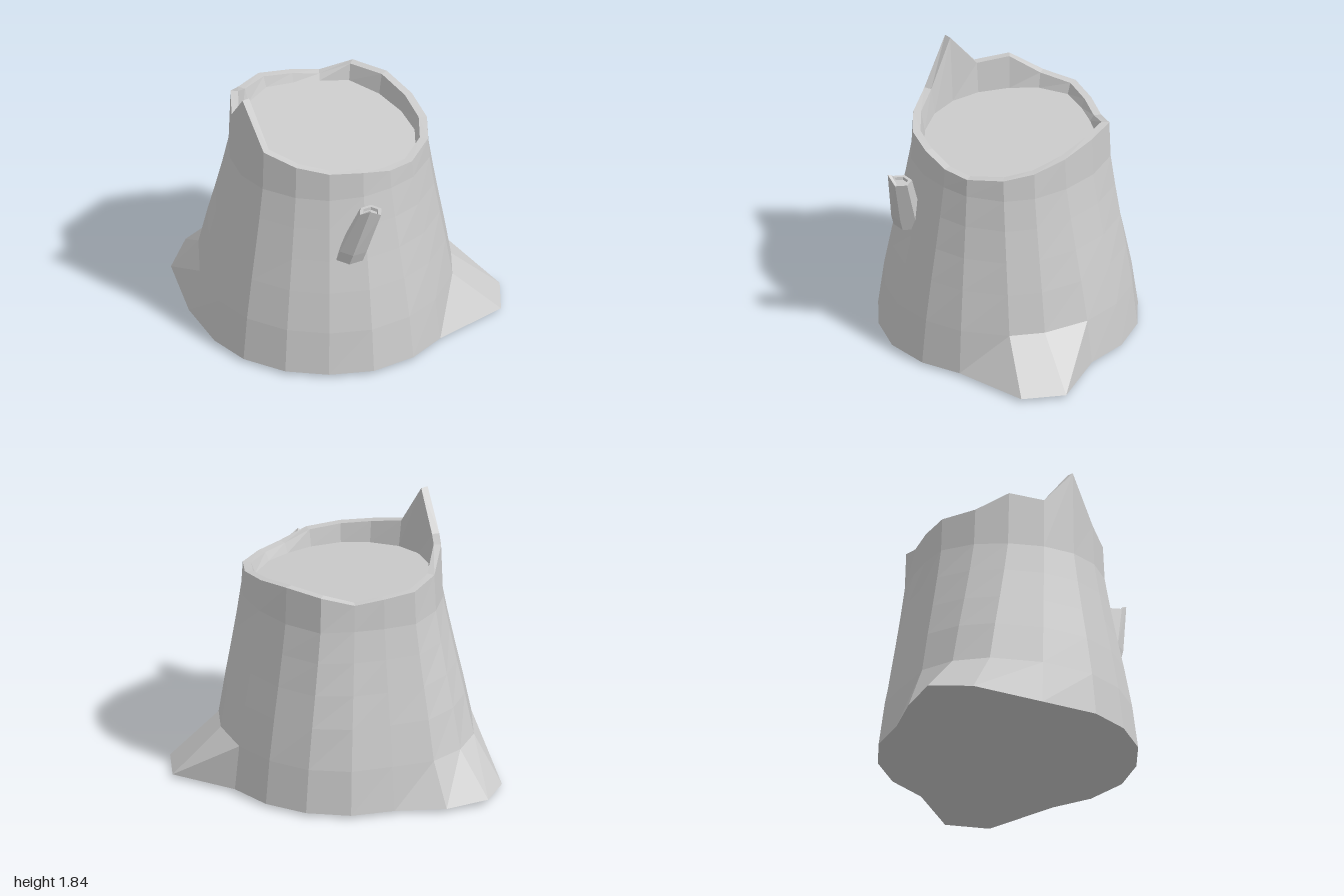
import * as THREE from 'three';

const mat = new THREE.MeshStandardMaterial({ color: 0xcccccc, flatShading: true });

// Skin a list of rings (each a loop of Vector3), skipping collapsed triangles.
function loft(rings, name) {
  const pos = [];
  const tri = (a, b, c) => {
    if (a.distanceTo(b) < 1e-5 || b.distanceTo(c) < 1e-5 || c.distanceTo(a) < 1e-5) return;
    for (const p of [a, b, c]) pos.push(p.x, p.y, p.z);
  };
  for (let i = 0; i < rings.length - 1; i++) {
    const n = rings[i].length;
    for (let j = 0; j < n; j++) {
      const k = (j + 1) % n;
      tri(rings[i][j], rings[i][k], rings[i + 1][k]);
      tri(rings[i][j], rings[i + 1][k], rings[i + 1][j]);
    }
  }
  const geo = new THREE.BufferGeometry();
  geo.setAttribute('position', new THREE.Float32BufferAttribute(pos, 3));
  geo.computeVertexNormals();
  const mesh = new THREE.Mesh(geo, mat);
  mesh.name = name;
  return mesh;
}

// Columns of the trunk, running from the front towards +x:
// [base x, base z, rim x, rim z, rim height, root flare]
const columns = [
  [-0.08, 1.00, -0.08, 0.77, 1.38, 0],
  [0.20, 0.95, 0.11, 0.77, 1.37, 0],
  [0.73, 0.95, 0.34, 0.67, 1.40, 0.6],
  [0.92, 0.72, 0.47, 0.51, 1.43, 0.6],
  [0.77, 0.28, 0.54, 0.28, 1.47, 0],
  [0.77, -0.02, 0.55, 0.02, 1.51, 0],
  [0.67, -0.30, 0.48, -0.24, 1.50, 0],
  [0.48, -0.53, 0.30, -0.37, 1.435, 0],
  [0.22, -0.67, 0.13, -0.47, 1.46, 0.05],
  [-0.05, -0.88, -0.07, -0.55, 1.48, 0.28],
  [-0.31, -1.00, -0.30, -0.49, 1.505, 0.42],
  [-0.57, -0.85, -0.48, -0.36, 1.62, 0.35],
  [-0.80, -0.41, -0.63, -0.18, 1.59, 0.1],
  [-0.93, -0.01, -0.71, 0.02, 1.835, 0],
  [-0.93, 0.28, -0.71, 0.23, 1.53, 0],
  [-0.82, 0.57, -0.62, 0.45, 1.48, 0],
  [-0.63, 0.79, -0.48, 0.62, 1.45, 0],
  [-0.38, 0.95, -0.28, 0.73, 1.43, 0],
];

function makeTrunk() {
  const cx = -0.08, cz = 0.11;
  const baseY = j => (j === 12 ? 0 : j === 10 ? 0.045 : 0.02);
  const ring = fn => columns.map((c, j) => fn(c, j));
  const inset = (s, height) => ring(c => {
    const x = cx + (c[2] - cx) * s, z = cz + (c[3] - cz) * s;
    return new THREE.Vector3(x, height(c, z), z);
  });
  const floorY = (c, z) => Math.min(1.37 - 0.08 * z, c[4] - 0.04);

  const rings = [ring(() => new THREE.Vector3(0, 0.02, 0))];
  // [height, how far each column has moved from base to rim]
  for (const [y, f] of [[0.02, 0], [0.32, 0.17], [0.6, 0.4], [0.82, 0.6], [1.04, 0.79], [1.25, 0.95]]) {
    rings.push(ring((c, j) => {
      const t = f === 0 ? 0 : f + (1 - f) * c[5];
      return new THREE.Vector3(
        c[0] + (c[2] - c[0]) * t, f === 0 ? baseY(j) : y, c[1] + (c[3] - c[1]) * t);
    }));
  }
  // Jagged rim, its inner wall, and the sunken cut surface
  rings.push(inset(1, c => c[4]), inset(0.92, c => c[4]), inset(0.88, floorY));
  rings.push(ring(() => new THREE.Vector3(cx, 1.36, cz)));
  return loft(rings, 'trunk');
}

// Broken branch: a leaning six-sided stub with a hollow end and one splinter
function makeBranch() {
  const ring = (x, y, z, r, splinter = 0) => Array.from({ length: 6 }, (_, j) => {
    const a = (j / 6) * Math.PI * 2 - 0.75;
    return new THREE.Vector3(x + r * Math.sin(a), y + (j === 0 ? splinter : 0), z + r * Math.cos(a));
  });
  return loft([
    ring(-0.41, 0.84, 0.745, 0),
    ring(-0.41, 0.84, 0.745, 0.1),
    ring(-0.405, 0.92, 0.775, 0.1),
    ring(-0.36, 1.245, 0.895, 0.08, 0.05),
    ring(-0.36, 1.245, 0.895, 0.055, 0.045),
    ring(-0.36, 1.225, 0.892, 0.05),
    ring(-0.36, 1.225, 0.892, 0),
  ], 'brokenBranch');
}

export function createModel() {
  const group = new THREE.Group();
  group.name = 'treeStump';
  group.add(makeTrunk(), makeBranch());
  return group;
}
